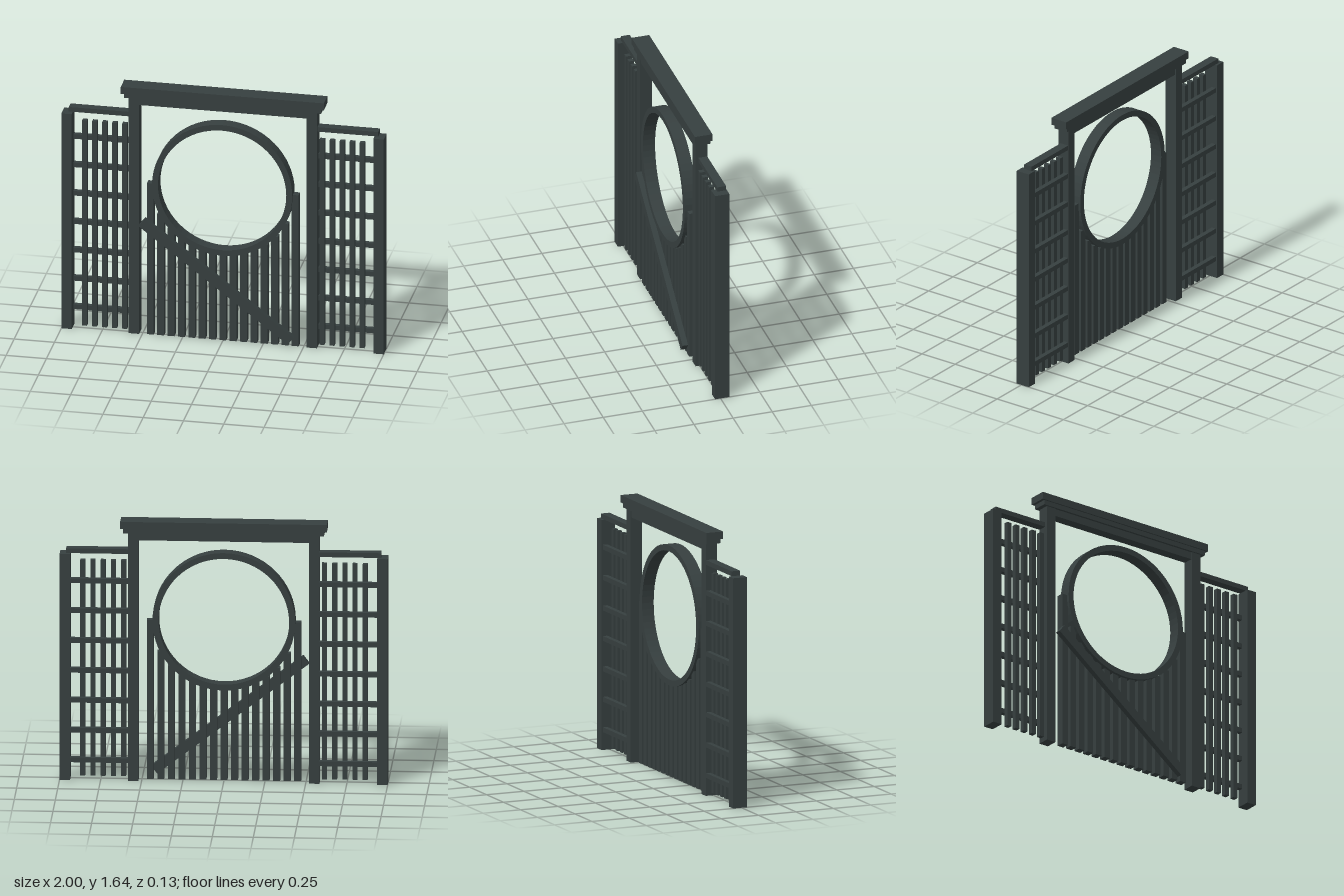
import * as THREE from 'three';

export function createModel() {
  const model = new THREE.Group();
  model.name = 'moonGate';
  const darkWood = new THREE.MeshStandardMaterial({ color: 0x363f3f });
  darkWood.name = 'darkWood';

  // Box given by its min and max along each axis
  function bar(parent, name, x0, x1, y0, y1, z0, z1) {
    const mesh = new THREE.Mesh(new THREE.BoxGeometry(x1 - x0, y1 - y0, z1 - z0), darkWood);
    mesh.position.set((x0 + x1) / 2, (y0 + y1) / 2, (z0 + z1) / 2);
    mesh.name = name;
    parent.add(mesh);
    return mesh;
  }
  function group(name) {
    const g = new THREE.Group();
    g.name = name;
    model.add(g);
    return g;
  }

  // Central frame: posts and stepped lintel
  const frame = group('frame');
  for (const s of [-1, 1]) {
    bar(frame, 'innerPost', s * 0.552 - 0.032, s * 0.552 + 0.032, 0, 1.57, -0.05, 0.026);
  }
  bar(frame, 'lowerLintel', -0.52, 0.52, 1.522, 1.57, -0.045, 0.021);
  bar(frame, 'middleLintel', -0.612, 0.612, 1.568, 1.597, -0.059, 0.036);
  bar(frame, 'capBeam', -0.63, 0.63, 1.597, 1.643, -0.067, 0.045);

  // Side trellises
  for (const s of [-1, 1]) {
    const side = group(s > 0 ? 'leftTrellis' : 'rightTrellis');
    const span = (name, a, b, ...rest) =>
      bar(side, name, Math.min(s * a, s * b), Math.max(s * a, s * b), ...rest);
    span('outerPost', 0.936, 1, 0, 1.43, -0.056, 0.035);
    span('topRail', 0.56, 0.96, 1.435, 1.465, -0.048, 0.008);
    for (let i = 0; i < 5; i++) {
      const x = 0.612 + i * 0.0622;
      span('slat', x - 0.015, x + 0.015, 0.02, 1.385, -0.018, 0.013);
    }
    for (let i = 0; i < 7; i++) {
      const y = 0.126 + i * 0.189;
      span('rung', 0.56, 0.95, y - 0.015, y + 0.015, -0.047, -0.017);
    }
  }

  // Gate: round opening
  const gate = group('gate');
  const cy = 1.01, outer = 0.435, inner = 0.398;
  const disc = new THREE.Shape().absarc(0, 0, outer, 0, Math.PI * 2, false);
  disc.holes.push(new THREE.Path().absarc(0, 0, inner, 0, Math.PI * 2, true));
  const ring = new THREE.Mesh(
    new THREE.ExtrudeGeometry(disc, { depth: 0.078, bevelEnabled: false, curveSegments: 32 }), darkWood);
  ring.position.set(0, cy, -0.03);
  ring.name = 'ring';
  gate.add(ring);

  // Gate planks, each cut off where it meets the ring
  for (let i = -7; i <= 7; i++) {
    const x = i * 0.0642;
    const top = cy + 0.004 - Math.sqrt(Math.max(0, outer * outer - x * x));
    bar(gate, 'plank', x - 0.021, x + 0.021, 0.005, Math.min(top, cy), -0.016, 0.03);
  }

  // Diagonal brace across the planks
  const a = new THREE.Vector2(-0.498, 0.759), b = new THREE.Vector2(0.428, 0.05);
  const half = a.distanceTo(b) / 2;
  const brace = bar(gate, 'brace', -half, half, -0.03, 0.03, 0.029, 0.065);
  brace.position.x = (a.x + b.x) / 2;
  brace.position.y = (a.y + b.y) / 2;
  brace.rotation.z = Math.atan2(b.y - a.y, b.x - a.x);

  return model;
}
